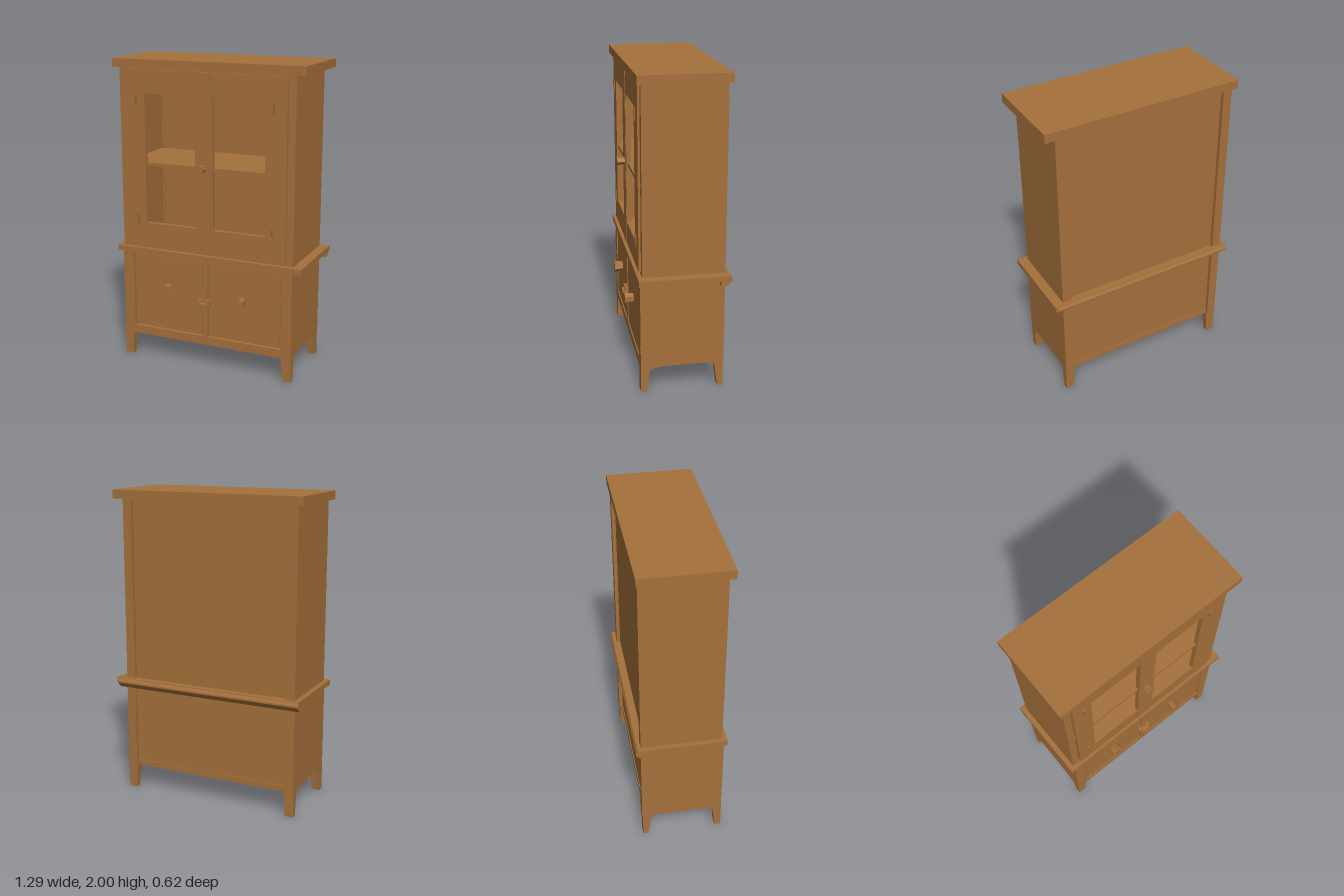
import * as THREE from 'three';

export function createModel() {
  const model = new THREE.Group();
  const wood = new THREE.MeshStandardMaterial({ color: 0xa5703b });
  wood.name = 'brown wood';
  const CX = -0.02;                       // centre line of the body

  const add = (name, geo) => {
    const mesh = new THREE.Mesh(geo, wood);
    mesh.name = name;
    model.add(mesh);
    return mesh;
  };
  // box given by its limits
  const box = (name, x0, x1, y0, y1, z0, z1) => {
    const geo = new THREE.BoxGeometry(x1 - x0, y1 - y0, z1 - z0);
    geo.translate((x0 + x1) / 2, (y0 + y1) / 2, (z0 + z1) / 2);
    return add(name, geo);
  };
  const polygon = (points) => new THREE.Shape(points.map(([x, y]) => new THREE.Vector2(x, y)));
  const rect = (x0, x1, y0, y1) => polygon([[x0, y0], [x1, y0], [x1, y1], [x0, y1]]);
  // flat panel facing +z, with openings
  const panel = (name, outline, holes, z0, z1) => {
    outline.holes = holes;
    const geo = new THREE.ExtrudeGeometry(outline, { depth: z1 - z0, bevelEnabled: false });
    geo.translate(0, 0, z0);
    return add(name, geo);
  };
  // profile in (z, y) extruded along x
  const sideProfile = (name, points, x0, x1) => {
    const shape = polygon(points.map(([z, y]) => [-z, y]));
    const geo = new THREE.ExtrudeGeometry(shape, { depth: x1 - x0, bevelEnabled: false });
    geo.rotateY(Math.PI / 2);
    geo.translate(x0, 0, 0);
    return add(name, geo);
  };

  // crown and waist boards
  box('topBoard', -0.65, 0.645, 1.945, 2, -0.288, 0.27);
  box('waistBoard', -0.65, 0.64, 0.733, 0.768, -0.3, 0.266);
  sideProfile('waistBackMoulding',
    [[-0.24, 0.7], [-0.24, 0.768], [-0.298, 0.768], [-0.31, 0.745], [-0.31, 0.735], [-0.275, 0.7]], -0.65, 0.63);

  // side walls, with the lower ones cut away into legs
  for (const s of [-1, 1]) {
    const outer = CX + s * 0.597, inner = CX + s * 0.55;
    const x0 = Math.min(outer, inner), x1 = Math.max(outer, inner);
    box('upperSide', x0, x1, 0.765, 1.95, -0.27, 0.238);
    sideProfile('lowerSide', [
      [0.252, 0.735], [0.25, 0.0], [0.212, 0.0], [0.195, 0.14], [0.175, 0.156], [0.11, 0.166],
      [-0.2, 0.166], [-0.215, 0.15], [-0.238, 0.0], [-0.27, 0.0], [-0.275, 0.735],
    ], outer - s * 0.018 < outer ? outer - 0.018 : outer, outer - s * 0.018 < outer ? outer : outer + 0.018);

    // back posts and tapered legs
    const postIn = outer - s * 0.06;
    box('backPost', Math.min(outer, postIn), Math.max(outer, postIn), 0.16, 1.95, -0.276, -0.23);
    for (const front of [true, false]) {
      const geo = new THREE.BoxGeometry(0.066, 0.17, 0.055);
      const p = geo.attributes.position;
      for (let i = 0; i < p.count; i++) {
        if (p.getY(i) > 0) continue;
        if (p.getX(i) * s < 0) p.setX(i, p.getX(i) + s * 0.012);
        if (p.getZ(i) * (front ? 1 : -1) < 0) p.setZ(i, p.getZ(i) + (front ? 0.015 : -0.022));
      }
      geo.translate(outer - s * 0.033, 0.085, front ? 0.2235 : -0.2435);
      geo.computeVertexNormals();
      add('leg', geo);
    }
  }

  // back panels set in behind the posts
  box('upperBackPanel', -0.58, 0.54, 0.765, 1.95, -0.252, -0.24);
  box('lowerBackPanel', -0.6, 0.56, 0.175, 0.735, -0.252, -0.24);
  box('backBottomRail', -0.6, 0.56, 0.158, 0.195, -0.258, -0.24);
  box('bottomBoard', -0.6, 0.56, 0.16, 0.18, -0.25, 0.24);

  // upper cupboard: shelf and glazed-style doors
  box('shelf', -0.575, 0.535, 1.32, 1.343, -0.245, 0.242);
  panel('upperDoors', rect(-0.563, 0.528, 0.79, 1.935),
    [rect(-0.435, -0.08, 0.942, 1.785), rect(0.04, 0.39, 0.942, 1.785)], 0.222, 0.252);
  box('doorOverlap', -0.08, 0.027, 0.79, 1.935, 0.24, 0.256);
  box('upperTopRail', -0.575, 0.535, 1.93, 1.95, 0.21, 0.238);
  box('upperBottomRail', -0.575, 0.535, 0.765, 0.795, 0.21, 0.238);

  // lower cupboard: face frame and two plain doors
  panel('lowerFrame', rect(-0.6, 0.56, 0.156, 0.735),
    [rect(-0.54, -0.035, 0.212, 0.725), rect(0, 0.505, 0.212, 0.725)], 0.225, 0.251);
  for (const [x0, x1] of [[-0.532, -0.04], [0.006, 0.5]]) {
    box('lowerDoor', x0, x1, 0.22, 0.722, 0.215, 0.246);
  }
  box('lowerDoorBacking', -0.56, 0.52, 0.2, 0.73, 0.205, 0.226);

  // knobs: short flared pegs
  const knob = (name, x, y, r, z1, tilt) => {
    const geo = new THREE.CylinderGeometry(r, r * 0.8, z1 - 0.24, 6).toNonIndexed();
    geo.computeVertexNormals();
    geo.rotateX(Math.PI / 2);
    geo.rotateZ(tilt);
    geo.translate(x, y, (z1 + 0.24) / 2);
    add(name, geo);
  };
  knob('leftDoorKnob', -0.283, 0.51, 0.039, 0.303, 0.3);
  knob('rightDoorKnob', 0.237, 0.495, 0.038, 0.303, 0);
  knob('upperDoorKnob', -0.025, 1.34, 0.027, 0.305, 0.4);

  // latch on the lower doors
  box('latchLeft', -0.067, -0.035, 0.428, 0.468, 0.24, 0.27);
  box('latchRight', -0.005, 0.022, 0.425, 0.475, 0.24, 0.27);
  box('latchBar', -0.045, 0.01, 0.433, 0.45, 0.24, 0.285);

  // slim hinge pins on the upper doors
  for (const x of [-0.492, 0.447]) {
    for (const y of [0.96, 1.74]) {
      const geo = new THREE.CylinderGeometry(0.009, 0.004, 0.08, 5);
      geo.translate(x, y, 0.256);
      add('hinge', geo);
    }
  }
  return model;
}
